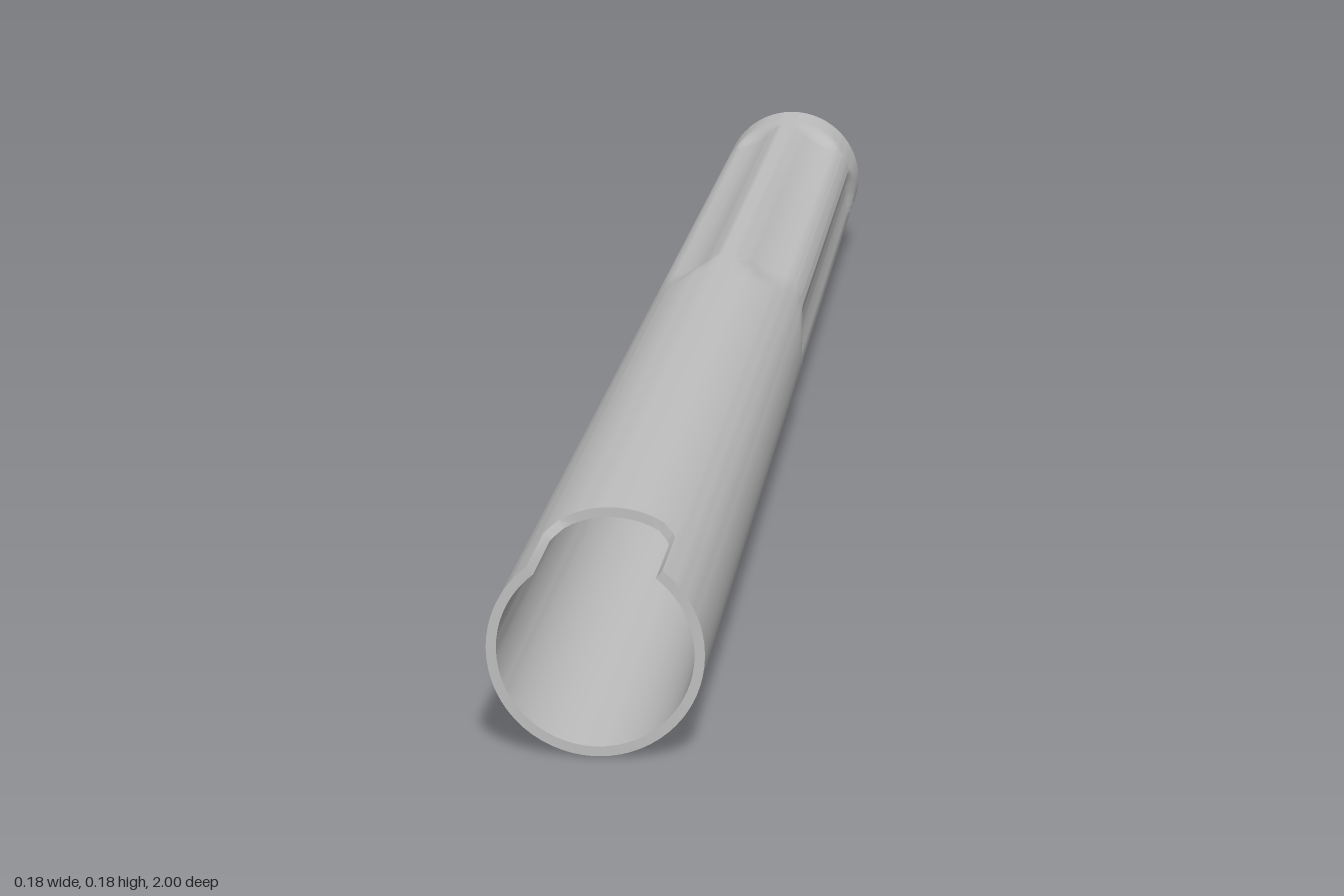
import * as THREE from 'three';
import { toCreasedNormals } from 'three/addons/utils/BufferGeometryUtils.js';

const R = 0.09, WALL = 0.0085, FLUTE_DEPTH = 0.0118, FLUTE_HALF = 22;
const NOTCH_HALF = 38, NOTCH_Z = 0.89;

// How far a flute is cut in at angle a (degrees) and depth z; six flutes at 0, 60, 120...
function dent(a, z) {
  const s = Math.min(THREE.MathUtils.smoothstep(-z, 0.0, 0.13), THREE.MathUtils.smoothstep(z, -0.935, -0.885));
  const off = a - 60 * Math.round(a / 60);
  return FLUTE_DEPTH * Math.max(0, s - (off / FLUTE_HALF) ** 2);
}

// Point on the outer or inner wall
function point(a, z, inner) {
  const r = R - (inner ? WALL : 0) - dent(a, z);
  const t = THREE.MathUtils.degToRad(a);
  return [r * Math.cos(t), R + r * Math.sin(t), z];
}

// Columns around the tube, each with the z of its front end
function makeColumns() {
  const angles = [];
  for (let f = 0; f < 6; f++)
    for (const o of [0, 6, 12, 17, 22, 26, 30, 34, 38, 43, 48, 54]) angles.push(f * 60 + o);
  const cols = angles.map(a => {
    const d = NOTCH_HALF - Math.abs(a - 90);
    if (d <= 0) return { a, end: 1 };
    // rounded inner corners of the notch
    return { a, end: NOTCH_Z + 0.018 * Math.max(0, 1 - d / 11) ** 2 };
  });
  // doubled columns form the straight sides of the notch
  const low = NOTCH_Z + 0.018;
  const lo = 90 - NOTCH_HALF, hi = 90 + NOTCH_HALF;
  cols.splice(cols.findIndex(c => c.a > lo), 0, { a: lo, end: 1 }, { a: lo, end: low });
  cols.splice(cols.findIndex(c => c.a > hi), 0, { a: hi, end: low }, { a: hi, end: 1 });
  return cols;
}

function barrelGeometry() {
  const cols = makeColumns();
  const rows = [-1, -0.935, -0.925, -0.915, -0.905, -0.895, -0.885, -0.5, -0.13, -0.115, -0.1, -0.08, -0.06, -0.04, -0.02, 0, 0.45, 0.85];
  const pos = [];
  const quad = (a, b, c, d) => pos.push(...a, ...b, ...c, ...a, ...c, ...d);
  cols.forEach((c, i) => {
    const n = cols[(i + 1) % cols.length];
    // outer and inner walls
    if (c.a !== n.a) {
      for (let j = 0; j < rows.length; j++) {
        const z = rows[j], last = j === rows.length - 1;
        const zc = last ? c.end : rows[j + 1], zn = last ? n.end : rows[j + 1];
        quad(point(c.a, z), point(n.a, z), point(n.a, zn), point(c.a, zc));
        quad(point(c.a, z, true), point(c.a, zc, true), point(n.a, zn, true), point(n.a, z, true));
      }
      // back rim
      quad(point(c.a, -1), point(c.a, -1, true), point(n.a, -1, true), point(n.a, -1));
    }
    // front rim and notch edges
    quad(point(c.a, c.end, true), point(c.a, c.end), point(n.a, n.end), point(n.a, n.end, true));
  });
  const g = new THREE.BufferGeometry();
  g.setAttribute('position', new THREE.Float32BufferAttribute(pos, 3));
  return toCreasedNormals(g, 0.7);
}

export function createModel() {
  const metal = new THREE.MeshStandardMaterial({ color: 0xbfbfbf });
  metal.name = 'light grey metal';
  const group = new THREE.Group();
  group.name = 'flutedTube';
  const barrel = new THREE.Mesh(barrelGeometry(), metal);
  barrel.name = 'flutedBarrel';
  group.add(barrel);
  return group;
}
